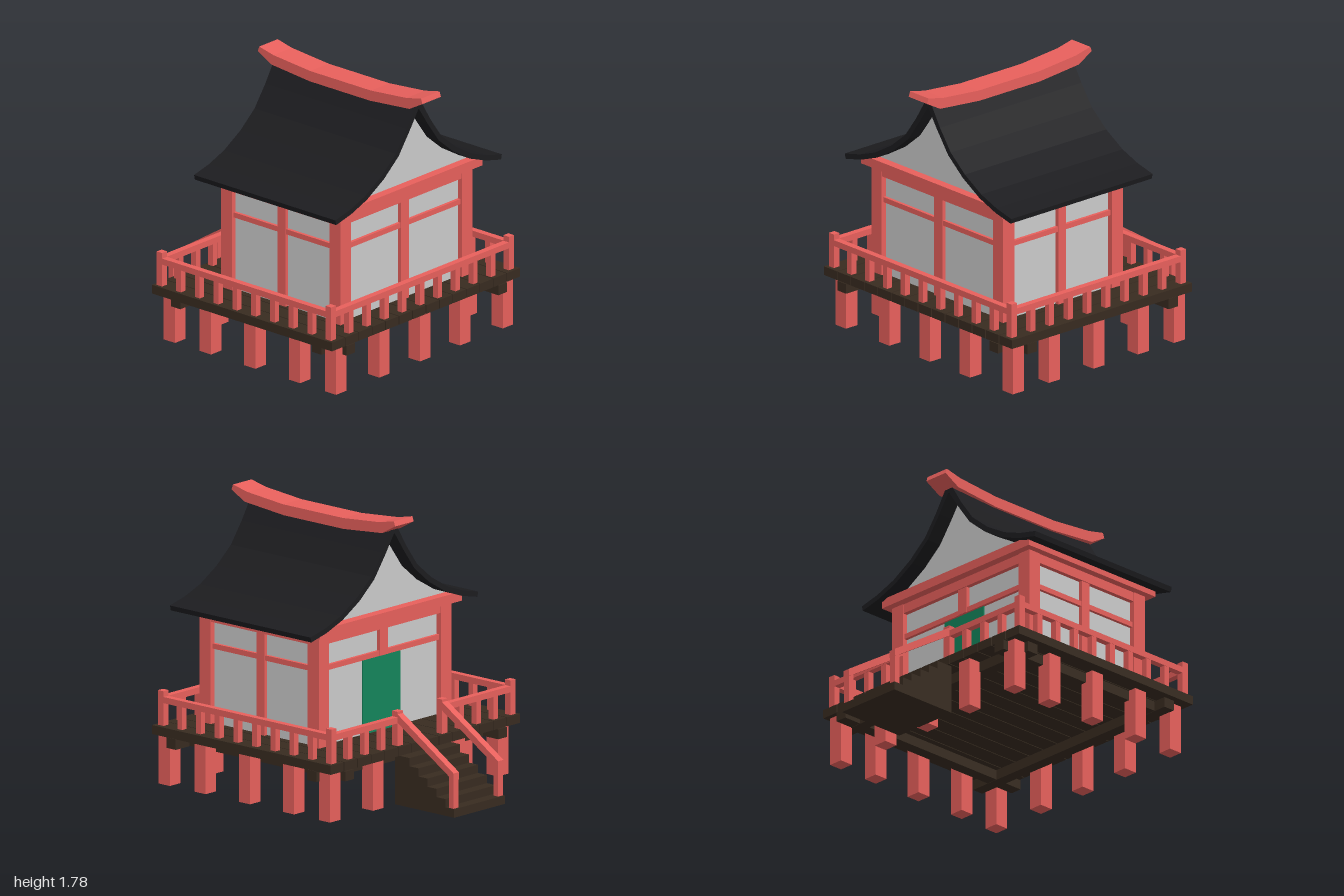
import * as THREE from 'three';

const mat = (color) => new THREE.MeshStandardMaterial({ color, flatShading: true });

export function createModel() {
  const model = new THREE.Group();
  const red = mat(0xe8605c), wood = mat(0x382b20), tile = mat(0x1c1c1f);
  const green = mat(0x14855b), grey = mat(0xcccccc);

  const add = (name, geometry, material) => {
    const mesh = new THREE.Mesh(geometry, material);
    mesh.name = name;
    model.add(mesh);
    return mesh;
  };
  // Box given by its extents on each axis
  const box = (name, material, [x0, x1], [y0, y1], [z0, z1]) => {
    const g = new THREE.BoxGeometry(x1 - x0, y1 - y0, z1 - z0);
    g.translate((x0 + x1) / 2, (y0 + y1) / 2, (z0 + z1) / 2);
    return add(name, g, material);
  };
  const around = (c, w) => [c - w / 2, c + w / 2];
  const extrude = (points, depth) => new THREE.ExtrudeGeometry(
    new THREE.Shape(points.map(([a, b]) => new THREE.Vector2(a, b))), { depth, bevelEnabled: false });
  // Side profile in (z, y), extruded across x
  const sideProfile = (name, material, points, [x0, x1]) =>
    add(name, extrude(points, x1 - x0).rotateY(-Math.PI / 2).translate(x1, 0, 0), material);

  // Stilts around the edge of the deck
  const stiltX = [-0.76, -0.355, 0.025, 0.4, 0.8], stiltZ = [-0.46, -0.157, 0.217, 0.593, 0.896];
  stiltX.forEach((x, i) => stiltZ.forEach((z, j) => {
    if (i % 4 === 0 || j % 4 === 0) box('stilt', red, around(x, 0.097), [0, 0.32], around(z, 0.095));
  }));

  // Deck planks on crossing beams
  const pitch = 1.765 / 14;
  for (let i = 0; i < 14; i++) {
    const x = -0.885 + pitch * (i + 0.5);
    box('deckPlank', wood, around(x, pitch - 0.006), [0.32, 0.378], [-0.54, 0.975]);
  }
  for (const z of [-0.38, 0.81]) box('crossBeam', wood, [-0.84, 0.88], [0.253, 0.321], around(z, 0.08));
  for (const x of [-0.71, 0.71]) box('longBeam', wood, around(x, 0.08), [0.255, 0.319], [-0.548, 0.98]);

  // Stairs: six solid steps at the back
  const steps = [[-0.5, 0]];
  for (let i = 0; i < 6; i++) {
    const y = 0.055 + i * 0.053;
    steps.push([-1 + i * 0.0755, i ? y - 0.053 : 0], [-1 + i * 0.0755, y]);
  }
  steps.push([-0.5, 0.32]);
  steps.splice(1, 0);
  sideProfile('stairs', wood, steps, [-0.235, 0.235]);
  for (const x of [-0.207, 0.207]) {
    sideProfile('stairRail', red,
      [[-0.5, 0.595], [-0.5, 0.54], [-0.955, 0.257], [-0.992, 0.235], [-0.992, 0.284]], around(x, 0.05));
    box('stairPost', red, around(x, 0.045), [0.05, 0.26], [-0.99, -0.95]);
  }

  // Railing: corner posts, top rails and balusters
  const left = -0.84, right = 0.823, front = 0.928, back = -0.495, w = 0.044;
  for (const x of [left, right]) for (const z of [front, back])
    box('railPost', red, around(x, 0.046), [0.378, 0.602], around(z, 0.046));
  for (const x of [-0.207, 0.207]) box('railPost', red, around(x, 0.05), [0.378, 0.6], around(back, 0.046));
  const railing = (x0, z0, x1, z1, bays) => {
    box('topRail', red, [x0 - w / 2, x1 + w / 2], [0.525, 0.565], [z0 - w / 2, z1 + w / 2]);
    for (let i = 1; i < bays; i++) {
      const t = i / bays;
      box('baluster', red, around(x0 + (x1 - x0) * t, w - 0.003), [0.378, 0.53],
        around(z0 + (z1 - z0) * t, w - 0.003));
    }
  };
  railing(left, front, right, front, 10);
  railing(left, back, left, front, 9);
  railing(right, back, right, front, 9);
  railing(left, back, -0.207, back, 4);
  railing(0.207, back, right, back, 4);

  // House: recessed wall panels within a timber frame
  const hx = [-0.62, 0.612], hz = [-0.195, 0.812], mx = -0.006, mz = 0.305;
  box('walls', grey, [-0.585, 0.577], [0.378, 1.1], [-0.16, 0.777]);
  for (const x of [-0.572, 0.564]) for (const z of [-0.15, 0.765])
    box('cornerPost', red, around(x, 0.096), [0.378, 1.1], around(z, 0.094));
  box('frontMiddlePost', red, around(mx, 0.076), [0.378, 1.1], [0.76, 0.802]);
  box('backMiddlePost', red, around(mx, 0.076), [0.865, 1.1], [-0.185, -0.14]);
  box('door', green, around(mx, 0.35), [0.378, 0.867], [-0.168, -0.14]);
  for (const [a, b] of [[-0.61, -0.56], [0.552, 0.602]])
    box('sideMiddlePost', red, [a, b], [0.378, 1.1], around(mz, 0.066));
  for (const [y0, y1, inset] of [[0.864, 0.898, 0.014], [1.038, 1.1, 0.004]]) {
    for (const [a, b] of [[hz[0] + inset, -0.14], [0.757, hz[1] - inset]])
      box('frameRail', red, [-0.57, 0.562], [y0, y1], [a, b]);
    for (const [a, b] of [[hx[0] + inset, -0.56], [0.552, hx[1] - inset]])
      box('frameRail', red, [a, b], [y0, y1], [-0.14, 0.757]);
  }
  box('eaveBeam', red, [-0.665, 0.655], [1.1, 1.16], [-0.245, 0.86]);

  // Roof: a curved band of even thickness, swept front to back
  const cx = 0.01;
  const half = [[0.775, 1.13], [0.635, 1.163], [0.49, 1.217], [0.335, 1.308],
    [0.2, 1.42], [0.098, 1.56], [0.018, 1.69]];
  const offset = (d) => half.map(([x, y], i) => {
    const a = half[Math.max(i - 1, 0)], b = half[Math.min(i + 1, half.length - 1)];
    const dx = b[0] - a[0], dy = b[1] - a[1], l = Math.hypot(dx, dy);
    return [Math.max(x + d * dy / l, 0), y - d * dx / l];
  });
  const mirrored = (pts) => [...pts, ...pts.map(([x, y]) => [-x, y]).reverse()];
  const outer = mirrored(offset(0.017));
  const inner = mirrored([...offset(-0.017).slice(0, -1), [0.004, 1.67]]);
  add('roof', extrude([...outer, ...inner.reverse()], 1.19).translate(cx, 0, -0.288), tile);

  // Gable infill under the roof curve
  const gable = mirrored([[0.63, 1.155], ...half.slice(2)]);
  add('gable', extrude(gable, 0.98).translate(cx, 0, -0.18), grey);

  // Ridge cap with upturned ends
  sideProfile('ridgeCap', red, [
    [1, 1.75], [0.89, 1.69], [0.557, 1.66], [0.05, 1.66], [-0.275, 1.69], [-0.386, 1.752],
    [-0.375, 1.784], [-0.255, 1.757], [0.055, 1.73], [0.565, 1.73], [0.865, 1.757], [0.988, 1.784],
  ], [-0.063, 0.11]);

  return model;
}
